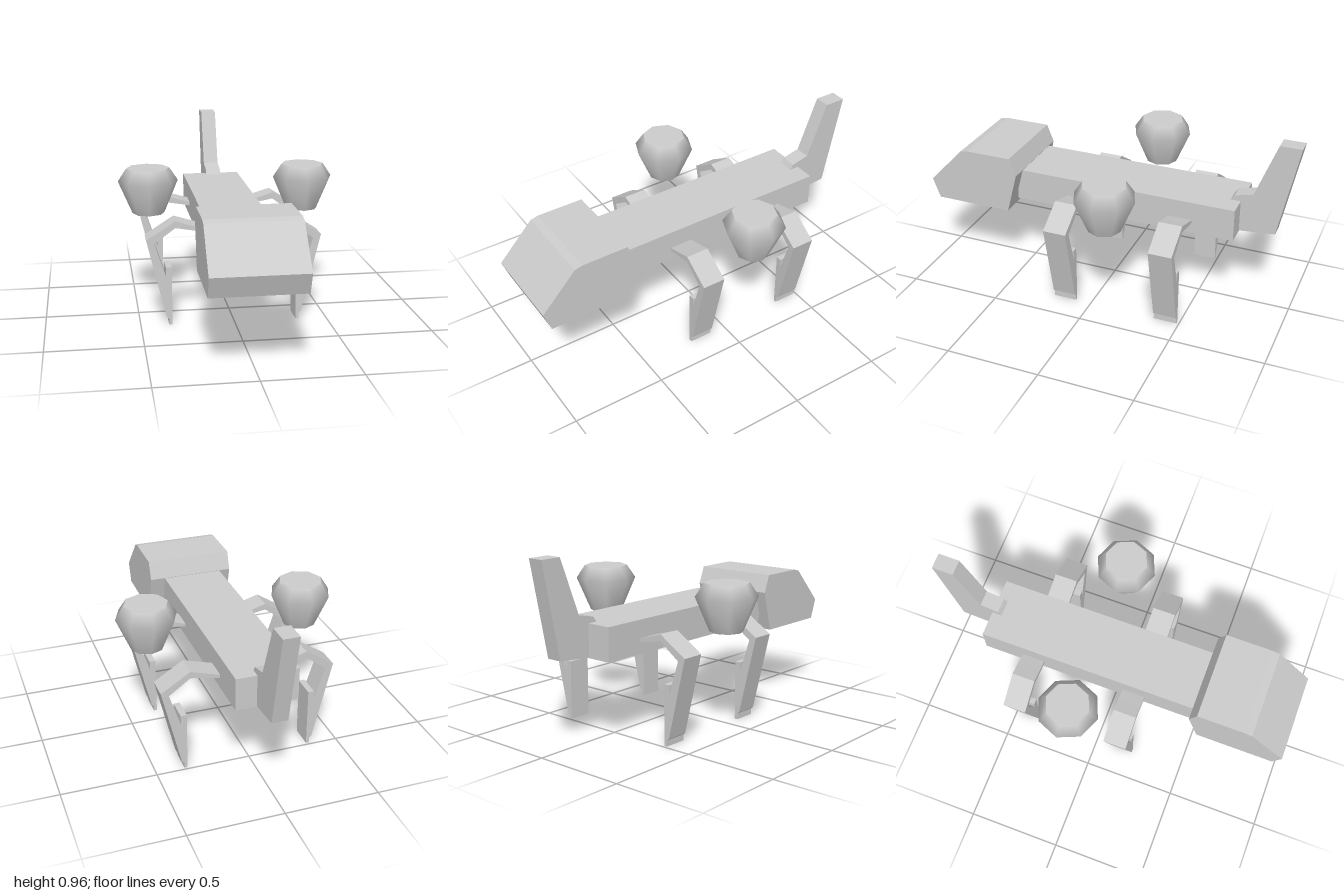
import * as THREE from 'three';

const flat = new THREE.MeshStandardMaterial({ color: 0xcccccc, flatShading: true });
const smooth = new THREE.MeshStandardMaterial({ color: 0xcccccc });

// Extrude a closed outline, centred on its own depth
function slab(points, depth) {
  const shape = new THREE.Shape(points.map(([a, b]) => new THREE.Vector2(a, b)));
  const geometry = new THREE.ExtrudeGeometry(shape, { depth, bevelEnabled: false });
  return geometry.translate(0, 0, -depth / 2);
}

// Extrude a side outline given as [z, y] across the width
const sideSlab = (points, width) => slab(points, width).rotateY(-Math.PI / 2);

function part(name, geometry, material = flat) {
  const mesh = new THREE.Mesh(geometry, material);
  mesh.name = name;
  return mesh;
}

// Eight-sided pod: smooth wall with sharp flat ends
function pod(name) {
  const group = new THREE.Group();
  group.name = name;
  const profile = [[0.087, 0.535], [0.163, 0.715], [0.117, 0.785]];
  const wall = new THREE.LatheGeometry(profile.map(([r, y]) => new THREE.Vector2(r, y)), 8);
  const top = new THREE.CircleGeometry(0.117, 8).rotateX(-Math.PI / 2).translate(0, 0.785, 0);
  const bottom = new THREE.CircleGeometry(0.087, 8).rotateX(Math.PI / 2).translate(0, 0.535, 0);
  group.add(part('podWall', wall, smooth), part('podTop', top), part('podBottom', bottom));
  return group;
}

export function createModel() {
  const model = new THREE.Group();
  model.name = 'walker';

  // Long box body
  const body = part('body', new THREE.BoxGeometry(0.33, 0.175, 1.22));
  body.position.set(-0.01, 0.5325, -0.1);
  model.add(body);

  // Wedge-nosed head
  model.add(part('head', sideSlab([
    [1, 0.508], [0.81, 0.708], [0.767, 0.718], [0.515, 0.718],
    [0.477, 0.622], [0.536, 0.4], [0.96, 0.4],
  ], 0.474)));

  // Upright tail with a foot running under the body
  const tail = part('tail', sideSlab([
    [-1, 0.965], [-0.885, 0.965], [-0.772, 0.67], [-0.675, 0.648],
    [-0.654, 0.617], [-0.515, 0.43], [-0.9, 0.466],
  ], 0.085));
  tail.position.x = 0.002;
  model.add(tail);

  // Bent legs and floating pods, mirrored
  const legOutline = [
    [0.14, 0.516], [0.235, 0.543], [0.31, 0.566], [0.464, 0.468], [0.362, 0.041],
    [0.35, 0.032], [0.35, 0], [0.333, 0], [0.332, 0.319], [0.364, 0.319],
    [0.364, 0.27], [0.422, 0.449], [0.31, 0.53], [0.235, 0.517], [0.14, 0.5],
  ];
  for (const [side, sign] of [['left', 1], ['right', -1]]) {
    for (const [end, z] of [['Front', 0.15], ['Back', -0.424]]) {
      const outline = legOutline.map(([x, y]) => [sign * x, y]);
      const leg = part(`${side}${end}Leg`, slab(outline, 0.125));
      leg.position.z = z;
      model.add(leg);
    }
    const sidePod = pod(`${side}Pod`);
    sidePod.position.set(sign * 0.427, 0, -0.115);
    model.add(sidePod);
  }
  return model;
}
